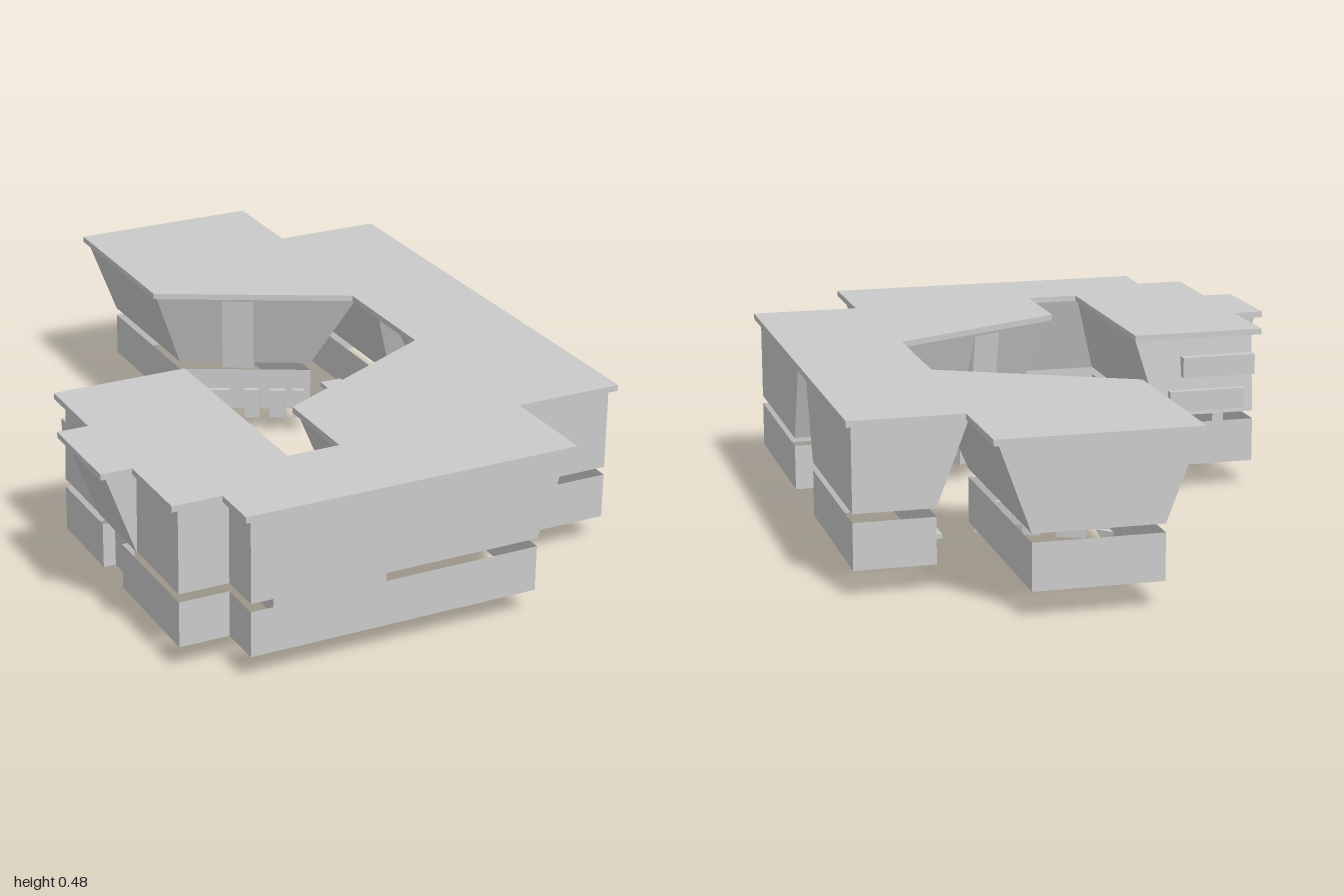
import * as THREE from 'three';

const concrete = new THREE.MeshStandardMaterial({ color: 0xcacaca, side: THREE.DoubleSide });
concrete.name = 'concrete grey';

// Flat-faced walls between a lower and an upper plan outline of [x, z] points
function loft(name, low, high, y0, y1, floor = true, lid = false) {
  const pos = [];
  const put = (p, y) => pos.push(p[0], y, p[1]);
  const area2 = (a, b, c) => (b[0] - a[0]) * (c[1] - a[1]) - (b[1] - a[1]) * (c[0] - a[0]);
  // Walls, turned so that their fronts face outwards
  const clockwise = THREE.ShapeUtils.area(low.map(p => new THREE.Vector2(...p))) > 0;
  low.forEach((p, i) => {
    const j = (i + 1) % low.length;
    const [a, b, c, d] = clockwise ? [low[j], p, high[i], high[j]] : [p, low[j], high[j], high[i]];
    put(a, y0); put(b, y0); put(c, y1);
    put(a, y0); put(c, y1); put(d, y1);
  });
  const cap = (pts, y, up) => {
    const flat = pts.map(p => new THREE.Vector2(...p));
    for (const t of THREE.ShapeUtils.triangulateShape(flat, [])) {
      const [a, b, c] = t.map(i => pts[i]);
      const order = (area2(a, b, c) < 0) === up ? [a, b, c] : [a, c, b];
      order.forEach(p => put(p, y));
    }
  };
  if (floor) cap(low, y0, false);
  if (lid) cap(high, y1, true);
  const geo = new THREE.BufferGeometry();
  geo.setAttribute('position', new THREE.Float32BufferAttribute(pos, 3));
  geo.computeVertexNormals();
  const mesh = new THREE.Mesh(geo, concrete);
  mesh.name = name;
  return mesh;
}

// Box given by its extents
function box(name, x0, x1, y0, y1, z0, z1) {
  const m = new THREE.Mesh(new THREE.BoxGeometry(x1 - x0, y1 - y0, Math.abs(z1 - z0)), concrete);
  m.position.set((x0 + x1) / 2, (y0 + y1) / 2, (z0 + z1) / 2);
  m.name = name;
  return m;
}

export function createModel() {
  const g = new THREE.Group();
  g.name = 'building';

  // Roof slab around the courtyard
  const roof = [[-0.12, -1], [0.43, -1], [0.43, -0.715], [0.742, -0.715], [0.742, 0.71], [0.43, 0.71],
    [0.43, 1], [-0.52, 1], [-0.52, 0.865], [-0.658, 0.865], [-0.658, 0.62], [-0.745, 0.62],
    [-0.745, 0.33], [-0.658, 0.33], [-0.658, 0.09], [-0.27, 0.09], [-0.27, 0.725], [-0.12, 0.725],
    [-0.12, 0.455], [0.4, 0.19], [0.4, -0.19], [-0.12, -0.46]];
  g.add(loft('roof', roof, roof, 0.459, 0.476, true, true));

  // One storey block: flared upper walls above an open gap and a straight plinth
  const block = (name, low, high, plinth = low) => {
    g.add(loft(name + 'UpperWalls', low, high, 0.225, 0.46));
    g.add(loft(name + 'Plinth', plinth, plinth, 0.074, 0.202, false));
  };

  // South and west wing, with a notch in the west plinth
  const southLow = [[0.33, 0.985], [-0.5, 0.985], [-0.5, 0.86], [-0.64, 0.86], [-0.64, 0.11], [-0.35, 0.11],
    [-0.35, 0.81], [-0.02, 0.81], [-0.02, 0.5], [0.33, 0.32]];
  const notch = [[-0.64, 0.5], [-0.605, 0.5], [-0.605, 0.37], [-0.64, 0.37]];
  block('southWing', southLow,
    [[0.415, 0.985], [-0.5, 0.985], [-0.5, 0.86], [-0.64, 0.86], [-0.64, 0.13], [-0.28, 0.13],
      [-0.28, 0.735], [-0.11, 0.735], [-0.11, 0.465], [0.415, 0.195]],
    [...southLow.slice(0, 4), ...notch, ...southLow.slice(4)]);

  // North wing
  block('northWing',
    [[0.33, -0.985], [-0.02, -0.985], [-0.02, -0.5], [0.33, -0.32]],
    [[0.415, -0.985], [-0.11, -0.985], [-0.11, -0.465], [0.415, -0.195]]);

  // Flared bay on the west side
  g.add(loft('westBay', [[-0.642, 0.35], [-0.642, 0.6], [-0.638, 0.6], [-0.638, 0.35]],
    [[-0.728, 0.345], [-0.728, 0.605], [-0.638, 0.605], [-0.638, 0.345]], 0.225, 0.46));

  // Stepped boxes on the end of the west wing
  [[-0.64, -0.42, 0.34], [-0.61, -0.38, 0.24]].forEach(([x0, x1, y], i) =>
    g.add(box('endStep' + (i + 1), x0, x1, y, y + 0.06, 0.095, 0.14)));

  // Point on a slanted courtyard edge: t along it, inset behind it
  const edge = (s, t, inset) => [0.4 - 0.52 * t + 0.455 * inset, s * (0.19 + 0.265 * t + 0.89 * inset)];

  for (const s of [1, -1]) {
    const side = s > 0 ? 'south' : 'north';

    // East blocks
    block(side + 'East',
      [[0.505, s * 0.142], [0.725, s * 0.142], [0.725, s * 0.69], [0.505, s * 0.69]],
      [[0.415, s * 0.057], [0.725, s * 0.057], [0.725, s * 0.69], [0.415, s * 0.69]]);

    // Upright panel in the slanted courtyard wall
    g.add(loft(side + 'CourtyardPanel',
      [edge(s, 0.5, 0.04), edge(s, 0.66, 0.04), edge(s, 0.66, 0.09), edge(s, 0.5, 0.09)],
      [edge(s, 0.5, 0.015), edge(s, 0.66, 0.015), edge(s, 0.66, 0.05), edge(s, 0.5, 0.05)], 0.226, 0.46));

    // Small entrance boxes along the courtyard plinth
    for (const [t0, t1] of [[0.24, 0.3], [0.34, 0.42], [0.47, 0.55], [0.63, 0.77]]) {
      const plan = [edge(s, t0, 0.07), edge(s, t1, 0.07), edge(s, t1, 0.1), edge(s, t0, 0.1)];
      g.add(loft(side + 'Entrance', plan, plan, 0.05, 0.14, true, true));
    }

    // Foot under the courtyard corner, with its sloping end
    const z0 = s * 0.52, z1 = s > 0 ? 0.84 : -0.66;
    g.add(loft(side + 'Foot',
      [[-0.118, z0], [-0.02, z0], [-0.02, s * 0.53], [-0.02, z1], [-0.118, z1]],
      [[-0.118, s * 0.505], [0.02, s * 0.49], [-0.02, s * 0.53], [-0.02, z1], [-0.118, z1]],
      0, 0.076, true, true));

    // Entry ledge in the passage
    g.add(box(side + 'Ledge', 0.437, 0.505, 0.074, 0.087, s * 0.36, s * 0.46));
  }

  // Wider end of the south foot
  g.add(box('southFootEnd', -0.137, -0.118, 0, 0.076, 0.73, 0.84));

  // Wall closing the passage between the east blocks
  g.add(loft('passageWall', [[0.55, -0.142], [0.61, -0.142], [0.61, 0.142], [0.55, 0.142]],
    [[0.55, -0.057], [0.61, -0.057], [0.61, 0.057], [0.55, 0.057]], 0.217, 0.46));

  return g;
}
